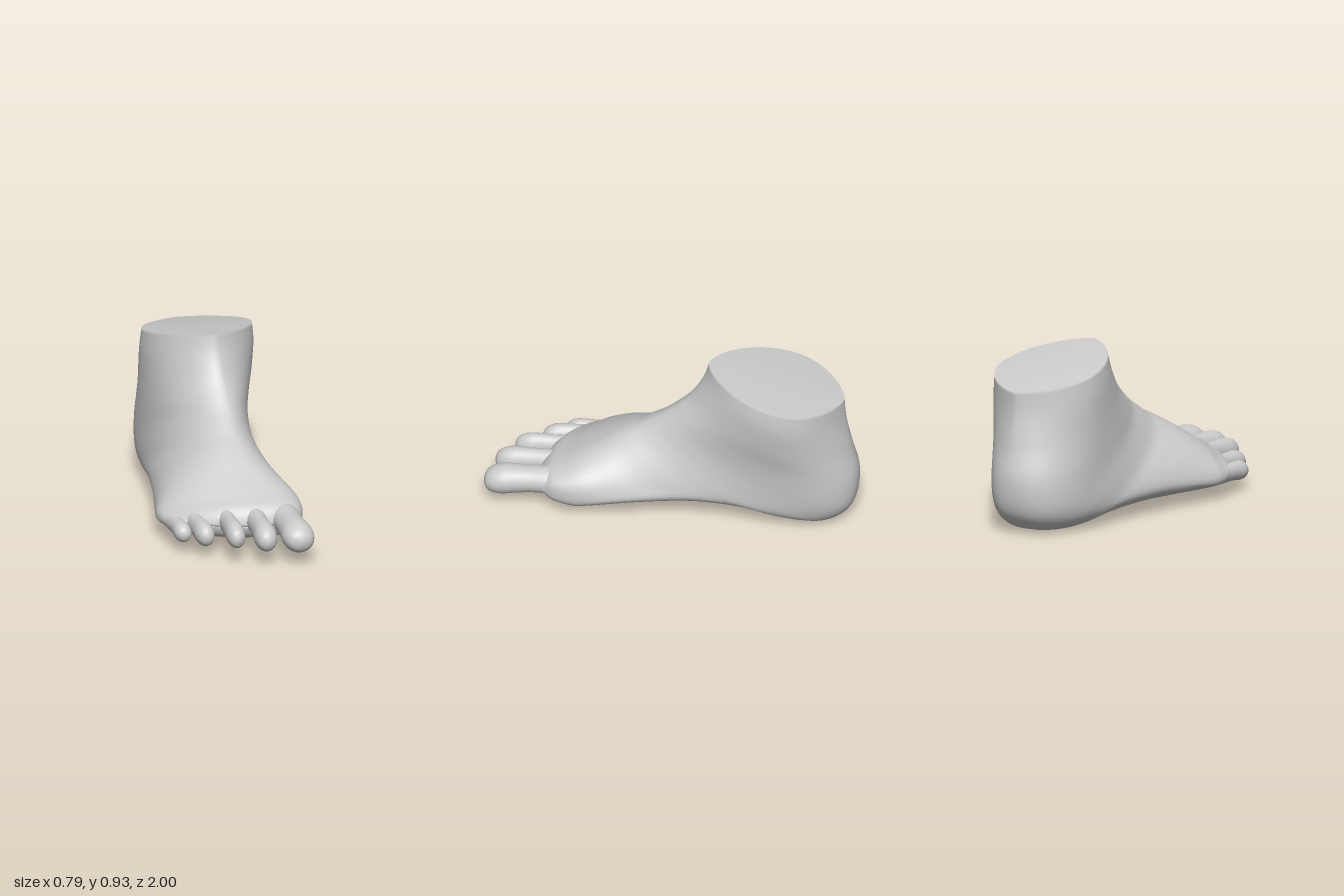
import * as THREE from 'three';

const material = new THREE.MeshStandardMaterial({ color: 0xcccccc, roughness: 0.8 });

// Catmull-Rom interpolation of a table of rows at position t (in rows)
function sampleRows(rows, t) {
  const i = Math.min(Math.floor(t), rows.length - 2), f = t - i;
  const at = (k) => rows[Math.max(0, Math.min(rows.length - 1, k))];
  const [a, b, c, d] = [at(i - 1), at(i), at(i + 1), at(i + 2)];
  return b.map((_, k) => 0.5 * (2 * b[k] + (c[k] - a[k]) * f
    + (2 * a[k] - 5 * b[k] + 4 * c[k] - d[k]) * f * f
    + (3 * b[k] - a[k] - 3 * c[k] + d[k]) * f * f * f));
}

const centreOf = (ring) => [0, 1, 2].map((k) => ring.reduce((s, p) => s + p[k], 0) / ring.length);

// Skin closed rings of points, closing both ends to their centres
function loft(name, openRings) {
  const first = openRings[0], last = openRings[openRings.length - 1];
  const rings = [first.map(() => centreOf(first)), ...openRings, last.map(() => centreOf(last))];
  const n = first.length, index = [];
  for (let r = 0; r < rings.length - 1; r++) {
    for (let j = 0; j < n; j++) {
      const a = r * n + j, b = r * n + (j + 1) % n;
      if (r > 0) index.push(a, b, a + n);
      if (r < rings.length - 2) index.push(b, b + n, a + n);
    }
  }
  const geo = new THREE.BufferGeometry();
  geo.setAttribute('position', new THREE.Float32BufferAttribute(rings.flat(2), 3));
  geo.setIndex(index);
  geo.computeVertexNormals();
  const mesh = new THREE.Mesh(geo, material);
  mesh.name = name;
  return mesh;
}

// Sections fanning from the ankle cut to the toe line:
// instep z, y | heel or sole z, y | x min, x max, ridge x | widest point | roundness at instep, at sole
const SECTIONS = [
  [-0.19, 0.935, -0.92, 0.78, -0.20, 0.385, 0.08, 0.56, 1.4, 1.45],
  [-0.16, 0.84, -0.93, 0.65, -0.215, 0.39, 0.08, 0.56, 1.35, 1.4],
  [-0.09, 0.72, -0.965, 0.47, -0.22, 0.365, 0.08, 0.56, 1.25, 1.2],
  [0.00, 0.63, -1.0, 0.30, -0.225, 0.33, 0.08, 0.58, 1.15, 0.95],
  [0.06, 0.58, -0.975, 0.13, -0.23, 0.31, 0.08, 0.60, 1.1, 0.82],
  [0.13, 0.53, -0.88, 0.035, -0.24, 0.30, 0.07, 0.61, 1.05, 0.8],
  [0.20, 0.485, -0.72, 0.0, -0.25, 0.295, 0.07, 0.61, 1.0, 0.82],
  [0.27, 0.45, -0.5, 0.025, -0.275, 0.29, 0.07, 0.61, 0.95, 0.84],
  [0.35, 0.405, -0.2, 0.042, -0.315, 0.297, 0.08, 0.61, 0.9, 0.84],
  [0.43, 0.36, 0.1, 0.04, -0.355, 0.325, 0.10, 0.61, 0.86, 0.82],
  [0.51, 0.32, 0.36, 0.04, -0.385, 0.35, 0.12, 0.59, 0.82, 0.78],
  [0.58, 0.285, 0.53, 0.05, -0.395, 0.352, 0.13, 0.56, 0.75, 0.74],
  [0.65, 0.255, 0.64, 0.07, -0.385, 0.335, 0.13, 0.52, 0.7, 0.7],
  [0.69, 0.22, 0.69, 0.10, -0.36, 0.305, 0.13, 0.5, 0.7, 0.7],
];

function footRing(t, n = 48) {
  const [tz, ty, bz, by, xMin, xMax, ridge, wide, pTop, pSole] = sampleRows(SECTIONS, t);
  const toeLine = THREE.MathUtils.smoothstep(t, 7, 12);
  const arch = 0.08 * Math.max(0, Math.cos((t - 8) * 0.55));
  return Array.from({ length: n }, (_, j) => {
    const a = (j / n) * Math.PI * 2;
    const c = -Math.cos(a), s = Math.sin(a), p = c < 0 ? pTop : pSole;
    const side = Math.abs(s) ** p, along = Math.sign(c) * Math.abs(c) ** Math.min(p, 1);
    const u = along < 0 ? wide * (1 + along) : wide + (1 - wide) * along;
    const x = ridge * (1 - side) + (s < 0 ? xMax : xMin) * side;
    // the front edge curves back toward the small toe
    const z = tz + (bz - tz) * u - toeLine * 0.9 * (x - 0.13) ** 2;
    // the sole lifts on the inner side, and the outer top slopes down
    const inner = (x - xMin) / (xMax - xMin);
    const lift = arch * inner ** 2 * Math.max(0, u - 0.5) * 2;
    const drop = toeLine * 0.22 * Math.max(0, 0.13 - x) ** 2 * (1 - u);
    return [x, ty + (by - ty) * u + lift - drop, z];
  });
}

// Toes: base x, y, z | tip x, y, z | half width, half height
const TOES = {
  bigToe: [0.222, 0.178, 0.5, 0.222, 0.142, 1.0, 0.087, 0.082],
  secondToe: [0.065, 0.18, 0.52, 0.046, 0.147, 0.965, 0.061, 0.073],
  thirdToe: [-0.085, 0.175, 0.46, -0.097, 0.148, 0.88, 0.051, 0.068],
  fourthToe: [-0.25, 0.148, 0.38, -0.228, 0.127, 0.75, 0.051, 0.064],
  littleToe: [-0.338, 0.125, 0.34, -0.322, 0.115, 0.64, 0.047, 0.053],
};
// Position along the toe, width factor, height factor
const TOE_PROFILE = [
  [0, 0.9, 0.8], [0.3, 0.92, 0.9], [0.5, 0.87, 0.9], [0.68, 0.93, 0.97],
  [0.8, 1, 1], [0.9, 0.9, 0.87], [0.97, 0.62, 0.58], [1, 0.15, 0.15],
];

function makeToe(name, [bx, by, bz, tx, ty, tz, w, h]) {
  const rings = [], n = 24, steps = 28;
  for (let i = 0; i <= steps; i++) {
    const [d, fw, fh] = sampleRows(TOE_PROFILE, (i / steps) * (TOE_PROFILE.length - 1));
    const hump = 0.007 * Math.sin(d * Math.PI);
    rings.push(Array.from({ length: n }, (_, j) => {
      const a = (j / n) * Math.PI * 2;
      return [
        bx + (tx - bx) * d + Math.cos(a) * w * fw,
        by + (ty - by) * d + hump + Math.sin(a) * h * fh,
        bz + (tz - bz) * d,
      ];
    }));
  }
  return loft(name, rings);
}

export function createModel() {
  const group = new THREE.Group();
  group.name = 'foot';

  // Ankle cut, heel, instep and ball in one skin
  const rings = [], last = SECTIONS.length - 1;
  for (let i = 0; i <= last * 5; i++) rings.push(footRing(i / 5));
  // Rounded front edge between the toes, pinched to a closed seam
  const front = rings[rings.length - 1], mid = centreOf(front)[1];
  for (const [k, dz] of [[0.6, 0.012], [0.2, 0.018], [0, 0.019]]) {
    rings.push(front.map(([x, y, z]) => [x * (0.97 + 0.03 * k), mid + (y - mid) * k, z + dz]));
  }
  group.add(loft('footBody', rings));

  for (const [name, spec] of Object.entries(TOES)) group.add(makeToe(name, spec));
  return group;
}
